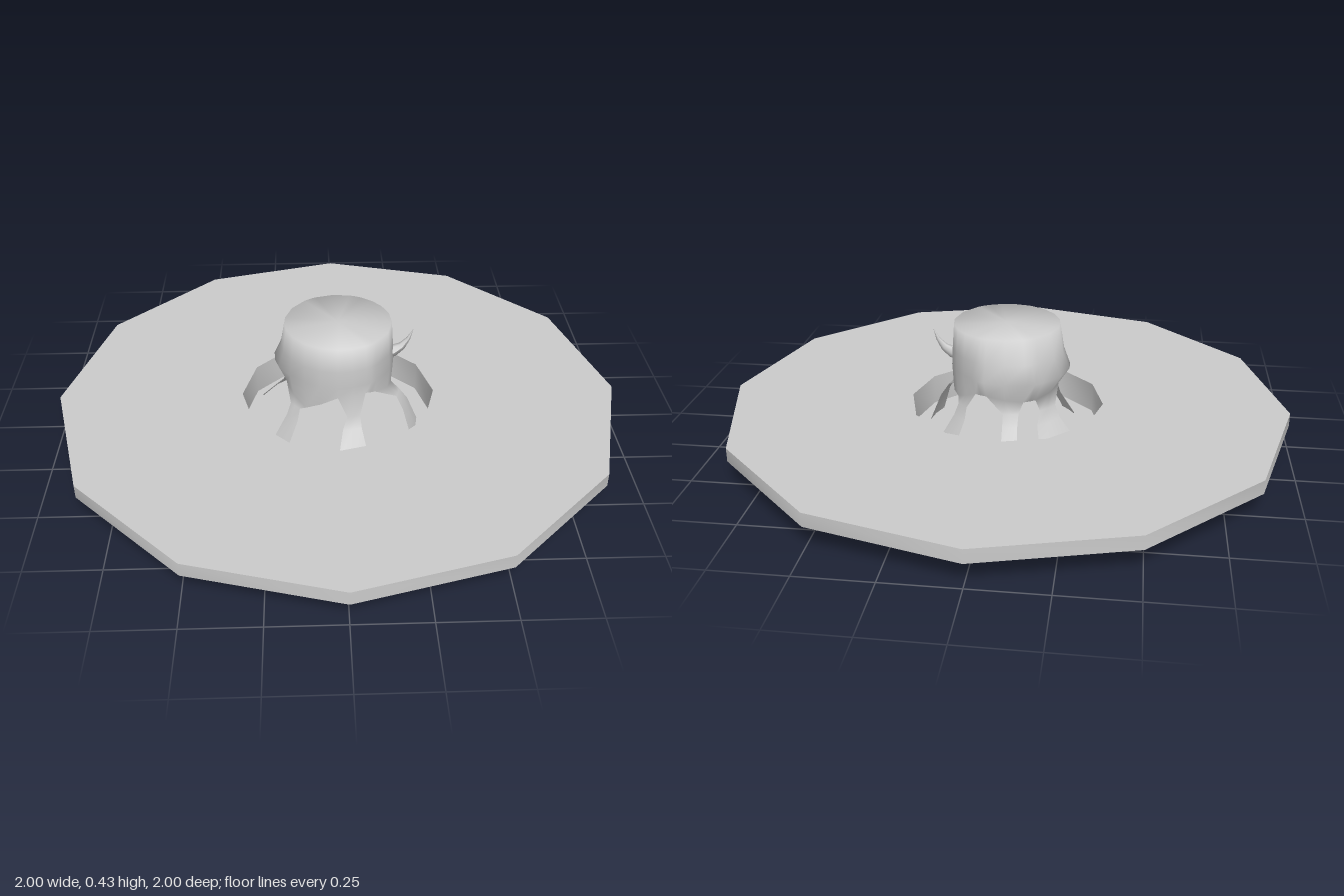
import * as THREE from 'three';
import { toCreasedNormals } from 'three/addons/utils/BufferGeometryUtils.js';

const grey = () => new THREE.MeshStandardMaterial({ color: 0xcccccc, side: THREE.DoubleSide });

// Twelve-sided sheet with a turned-down rim and a sunken pit, open underneath
function makeGround() {
  const profile = [[1, 0.082], [1, 0.13], [0.345, 0.13], [0.345, 0.022], [0, 0.022]]
    .map(([r, y]) => new THREE.Vector2(r, y));
  const mesh = new THREE.Mesh(toCreasedNormals(new THREE.LatheGeometry(profile, 12), 0.7), grey());
  mesh.name = 'groundPlate';
  return mesh;
}

// Each root: angles (degrees from +x towards +z) and heights where it leaves the
// trunk, angles at its neck, angles at its foot, radii at knee and foot
const ROOTS = [
  { top: [2, 50], y: [0.18, 0.23], neck: [9, 22], foot: [4, 27], knee: 0.25, r: 0.295 },
  { top: [62, 92], y: [0.24, 0.235], neck: [70, 83], foot: [70, 92], knee: 0.22, r: 0.3 },
  { top: [128, 165], y: [0.17, 0.22], neck: [133, 147], foot: [133, 150], knee: 0.215, r: 0.28 },
  { top: [190, 232], y: [0.22, 0.2], neck: [209, 230], foot: [207, 241], knee: 0.225, r: 0.32 },
  { top: [246, 285], y: [0.2, 0.22], neck: [252, 267], foot: [256, 268], knee: 0.22, r: 0.285 },
  { top: [298, 328], y: [0.22, 0.18], neck: [307, 320], foot: [306, 326], knee: 0.215, r: 0.28 },
];

// Hollow trunk with a flat top, arches between the roots and splayed root ribbons
function makeStump() {
  const pos = [], index = [];
  const add = (deg, r, y) => {
    const a = THREE.MathUtils.degToRad(deg);
    return pos.push(r * Math.cos(a), y, r * Math.sin(a)) / 3 - 1;
  };
  const bridge = (low, high, closed) => {
    const n = low.length;
    for (let i = 0; i < (closed ? n : n - 1); i++) {
      const j = (i + 1) % n;
      index.push(low[i], high[i], low[j], low[j], high[i], high[j]);
    }
  };
  const mid = (a, b) => (a + b) / 2;

  // Four columns per root: edge, middle, edge, arch centre
  const columns = ROOTS.flatMap((root, i) => {
    const next = ROOTS[(i + 1) % ROOTS.length];
    const nextAngle = next.top[0] + (i === ROOTS.length - 1 ? 360 : 0);
    return [
      [root.top[0], root.y[0]],
      [mid(...root.top), mid(...root.y)],
      [root.top[1], root.y[1]],
      [mid(root.top[1], nextAngle), mid(root.y[1], next.y[0])],
    ];
  });

  // Trunk rings from the arches upward: height, radius, bulge at the back right
  const bulge = (deg) => Math.max(0, Math.cos(THREE.MathUtils.degToRad(deg - 225)));
  const arches = columns.map(([deg, y]) => add(deg, 0.19, y));
  let below = arches;
  for (const [y, r, b] of [[0.28, 0.196, 0.04], [0.34, 0.193, 0.012], [0.428, 0.187, 0]]) {
    const ring = columns.map(([deg]) => add(deg, r + b * bulge(deg), y));
    bridge(below, ring, true);
    below = ring;
  }

  // Flat top sharing its rim with the trunk for soft shading
  const centre = add(0, 0, 0.428);
  below.forEach((v, i) => index.push(centre, below[(i + 1) % below.length], v));

  // Roots narrow at the neck, then flare out through the pit floor
  ROOTS.forEach((root, i) => {
    const row = ([a, b], r, y) => [a, mid(a, b), b].map((deg) => add(deg, r, y));
    const rows = [
      arches.slice(i * 4, i * 4 + 3),
      row(root.neck, mid(0.19, root.knee), 0.165),
      row(root.neck.map((deg, k) => mid(deg, root.foot[k])), root.knee, 0.12),
      row(root.foot, root.r - 0.01, 0.03),
      row(root.foot, root.r, 0),
    ];
    for (let k = 1; k < rows.length; k++) bridge(rows[k], rows[k - 1], false);
  });

  const geometry = new THREE.BufferGeometry();
  geometry.setAttribute('position', new THREE.Float32BufferAttribute(pos, 3));
  geometry.setIndex(index);
  geometry.computeVertexNormals();
  const mesh = new THREE.Mesh(geometry, grey());
  mesh.name = 'stumpWithRoots';
  return mesh;
}

// Short twig: a cone bent along a curve
function makeTwig() {
  const curve = new THREE.QuadraticBezierCurve3(
    new THREE.Vector3(0.165, 0.3, 0), new THREE.Vector3(0.235, 0.3, 0), new THREE.Vector3(0.265, 0.395, 0));
  const geometry = new THREE.ConeGeometry(0.028, 1, 6, 4, true);
  const p = geometry.attributes.position;
  for (let i = 0; i < p.count; i++) {
    const t = THREE.MathUtils.clamp(p.getY(i) + 0.5, 0, 1);
    const c = curve.getPoint(t), d = curve.getTangent(t);
    p.setXYZ(i, c.x + d.y * p.getX(i), c.y - d.x * p.getX(i), p.getZ(i));
  }
  geometry.computeVertexNormals();
  const mesh = new THREE.Mesh(geometry, grey());
  mesh.name = 'twig';
  return mesh;
}

export function createModel() {
  const group = new THREE.Group();
  group.name = 'treeStump';
  group.add(makeGround(), makeStump(), makeTwig());
  return group;
}
